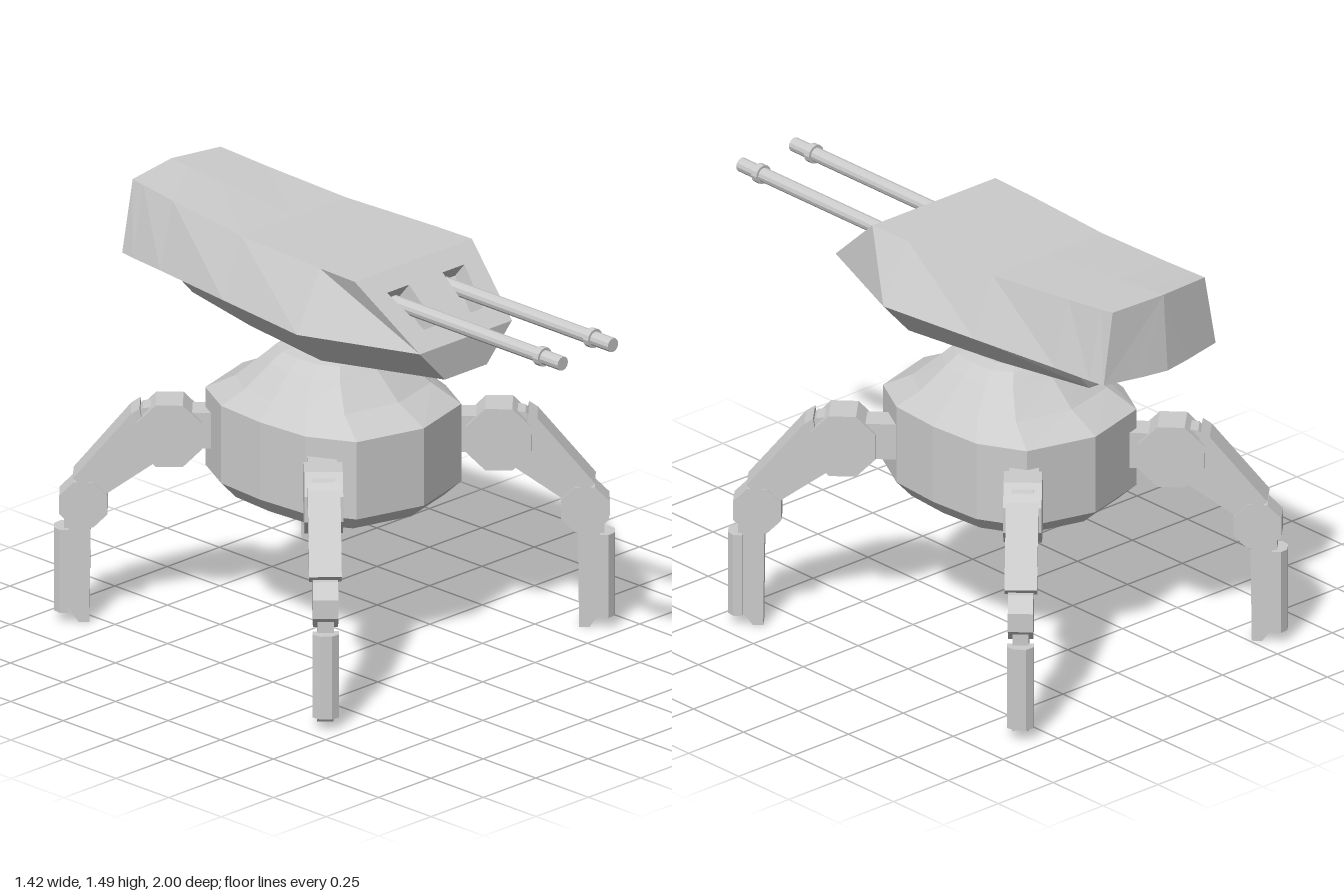
import * as THREE from 'three';

const material = new THREE.MeshStandardMaterial({ color: 0xcccccc, flatShading: true, side: THREE.DoubleSide });

function part(name, geometry, parent) {
  const mesh = new THREE.Mesh(geometry, material);
  mesh.name = name;
  parent.add(mesh);
  return mesh;
}

// Full closed ring from half of it: first and last points lie on the x = 0 plane
const mirrorRing = (half) => [...half, ...half.slice(1, -1).reverse().map(([x, y, z]) => [-x, y, z])];

// Skin a list of closed rings, turning the faces outward by signed volume
function loft(rings, capStart = true, capEnd = true) {
  const n = rings[0].length;
  const pos = rings.flat(2);
  let faces = [];
  for (let r = 0; r < rings.length - 1; r++) {
    for (let i = 0; i < n; i++) {
      const j = (i + 1) % n, a = r * n, b = a + n;
      faces.push([a + i, a + j, b + j], [a + i, b + j, b + i]);
    }
  }
  const last = (rings.length - 1) * n;
  for (let i = 1; i < n - 1; i++) {
    if (capStart) faces.push([0, i + 1, i]);
    if (capEnd) faces.push([last, last + i, last + i + 1]);
  }
  const point = (i) => new THREE.Vector3().fromArray(pos, i * 3);
  const centre = rings.flat().reduce((s, p) => s.add(new THREE.Vector3(...p)), new THREE.Vector3())
    .divideScalar(rings.length * n);
  const volume = faces.reduce((v, [a, b, c]) =>
    v + point(a).sub(centre).dot(point(b).sub(centre).cross(point(c).sub(centre))), 0);
  if (volume < 0) faces = faces.map(([a, b, c]) => [a, c, b]);
  const indexed = new THREE.BufferGeometry();
  indexed.setAttribute('position', new THREE.Float32BufferAttribute(pos, 3));
  indexed.setIndex(faces.flat());
  const geometry = indexed.toNonIndexed();
  geometry.computeVertexNormals();
  return geometry;
}

const shapeOf = (points) => new THREE.Shape(points.map(([x, y]) => new THREE.Vector2(x, y)));

// Side profile given a thickness centred on z = 0
function slab(points, width) {
  const g = new THREE.ExtrudeGeometry(shapeOf(points), { depth: width, bevelEnabled: false });
  return g.translate(0, 0, -width / 2);
}

function octagon(cx, cy, radius) {
  return Array.from({ length: 8 }, (_, i) => {
    const a = (i + 0.5) * Math.PI / 4;
    return [cx + radius * Math.cos(a), cy + radius * Math.sin(a)];
  });
}

function createBody(parent) {
  const plan = [[0, 0.43], [0.25, 0.36], [0.335, 0.2], [0.35, 0], [0.335, -0.2], [0.25, -0.36], [0, -0.43]];
  // Height, width scale, depth scale
  const levels = [[0.505, 0.87, 0.86], [0.56, 1, 1], [0.84, 1, 1], [0.9, 0.83, 0.72],
    [0.985, 0.6, 0.5], [1.02, 0.48, 0.42], [1.03, 0.36, 0.35]];
  const rings = levels.map(([y, sx, sz]) => mirrorRing(plan.map(([x, z]) => [x * sx, y, z * sz - 0.21])));
  part('body', loft(rings), parent);

  // Four-sided neck with its edges on the axes
  const neck = new THREE.CylinderGeometry(1, 1, 0.1, 4).scale(0.115, 1, 0.14);
  part('neck', neck, parent).position.set(0, 1.07, -0.22);
}

function createTurret(parent) {
  const turret = new THREE.Group();
  turret.name = 'turret';
  parent.add(turret);

  // Half sections from front to back: top centre, top corner, widest point, sill, bottom corner, bottom centre
  const sections = [
    [[0, 1.435, 0.17], [0.28, 1.435, 0.17], [0.22, 1.225, 0.42], [0.22, 1.225, 0.42], [0.1, 1.1, 0.42], [0, 1.1, 0.42]],
    [[0, 1.435, 0], [0.275, 1.435, 0], [0.385, 1.225, 0], [0.385, 1.225, 0], [0.27, 1.1, 0], [0, 1.1, 0]],
    [[0, 1.435, -0.4], [0.25, 1.435, -0.4], [0.335, 1.225, -0.4], [0.325, 1.222, -0.4], [0.21, 1.1, -0.4], [0, 1.1, -0.4]],
    [[0, 1.463, -0.75], [0.225, 1.458, -0.75], [0.285, 1.222, -0.75], [0.22, 1.215, -0.75], [0.13, 1.1, -0.75], [0, 1.1, -0.75]],
    [[0, 1.477, -0.9], [0.215, 1.47, -0.9], [0.265, 1.22, -0.9], [0.16, 1.212, -0.9], [0.1, 1.21, -0.9], [0, 1.21, -0.9]],
    [[0, 1.485, -0.98], [0.21, 1.475, -0.955], [0.255, 1.22, -0.96], [0.16, 1.215, -0.975], [0.1, 1.212, -0.985], [0, 1.21, -1]],
  ];
  part('turretHull', loft(sections.map(mirrorRing), false, true), turret);

  const chin = shapeOf([[-0.22, 1.225], [-0.1, 1.1], [0.1, 1.1], [0.22, 1.225]]);
  part('turretChin', new THREE.ShapeGeometry(chin), turret).position.z = 0.42;

  // Sloping front plate with a recessed gun port on each side
  const slope = Math.atan2(0.25, 0.21), length = Math.hypot(0.25, 0.21);
  const front = new THREE.Group();
  front.name = 'turretFront';
  front.position.set(0, 1.225, 0.42);
  front.rotation.x = -slope;
  turret.add(front);
  const plate = shapeOf([[-0.22, 0], [0.22, 0], [0.28, length], [-0.28, length]]);
  for (const s of [-1, 1]) {
    const port = [[0.08, 0.078], [0.14, 0.078], [0.185, 0.249], [0.08, 0.249]].map(([x, y]) => [s * x, y]);
    plate.holes.push(shapeOf(port));
    part('gunPort', loft([0, -0.07].map((z) => port.map(([x, y]) => [x, y, z])), false, true), front);
  }
  part('frontPlate', new THREE.ShapeGeometry(plate), front);

  // Twin guns, each a barrel with a collar
  for (const s of [-1, 1]) {
    const gun = new THREE.Group();
    gun.name = s > 0 ? 'leftGun' : 'rightGun';
    gun.position.set(s * 0.12, 1.325, 0);
    turret.add(gun);
    for (const [name, radius, z0, z1] of [['barrel', 0.025, 0.18, 1], ['collar', 0.034, 0.89, 0.915]]) {
      const g = new THREE.CylinderGeometry(radius, radius, z1 - z0, 12).rotateX(Math.PI / 2);
      part(name, g, gun).position.z = (z0 + z1) / 2;
    }
  }
}

// Leg around its shoulder joint, reaching outward along local +x
function createLeg(name, x, z, dx, dz, parent) {
  const leg = new THREE.Group();
  leg.name = name;
  leg.position.set(x, 0, z);
  leg.rotation.y = Math.atan2(-dz, dx);
  parent.add(leg);

  part('hipBlock', new THREE.BoxGeometry(0.19, 0.13, 0.1), leg).position.set(-0.14, 0.705, 0);
  part('shoulderJoint', slab(octagon(0, 0.69, 0.12), 0.13), leg);
  part('thigh', slab([[0.02, 0.79], [0.09, 0.78], [0.31, 0.53], [0.24, 0.45], [0.01, 0.61]], 0.075), leg);
  part('thighArmour', slab([[0.1, 0.785], [0.13, 0.765], [0.325, 0.53], [0.29, 0.5], [0.09, 0.73]], 0.11), leg);
  part('knee', slab(octagon(0.29, 0.43, 0.088), 0.085), leg);
  part('shin', slab([[0.265, 0.42], [0.27, 0], [0.305, 0], [0.355, 0.07], [0.355, 0.4]], 0.055), leg);
  // Shin armour with bevelled outer edges
  const outline = [[0.34, -0.045], [0.37, -0.045], [0.39, -0.02], [0.39, 0.02], [0.37, 0.045], [0.34, 0.045]];
  part('shinArmour', loft([0.04, 0.34].map((y) => outline.map(([r, w]) => [r, y, w]))), leg);
}

export function createModel() {
  const model = new THREE.Group();
  model.name = 'walkerTurret';
  createBody(model);
  createTurret(model);
  for (const s of [1, -1]) {
    const side = s > 0 ? 'Left' : 'Right';
    createLeg('front' + side + 'Leg', s * 0.42, 0.16, s * 0.69, 0.72, model);
    createLeg('back' + side + 'Leg', s * 0.34, -0.65, s * 0.69, -0.72, model);
  }
  return model;
}
